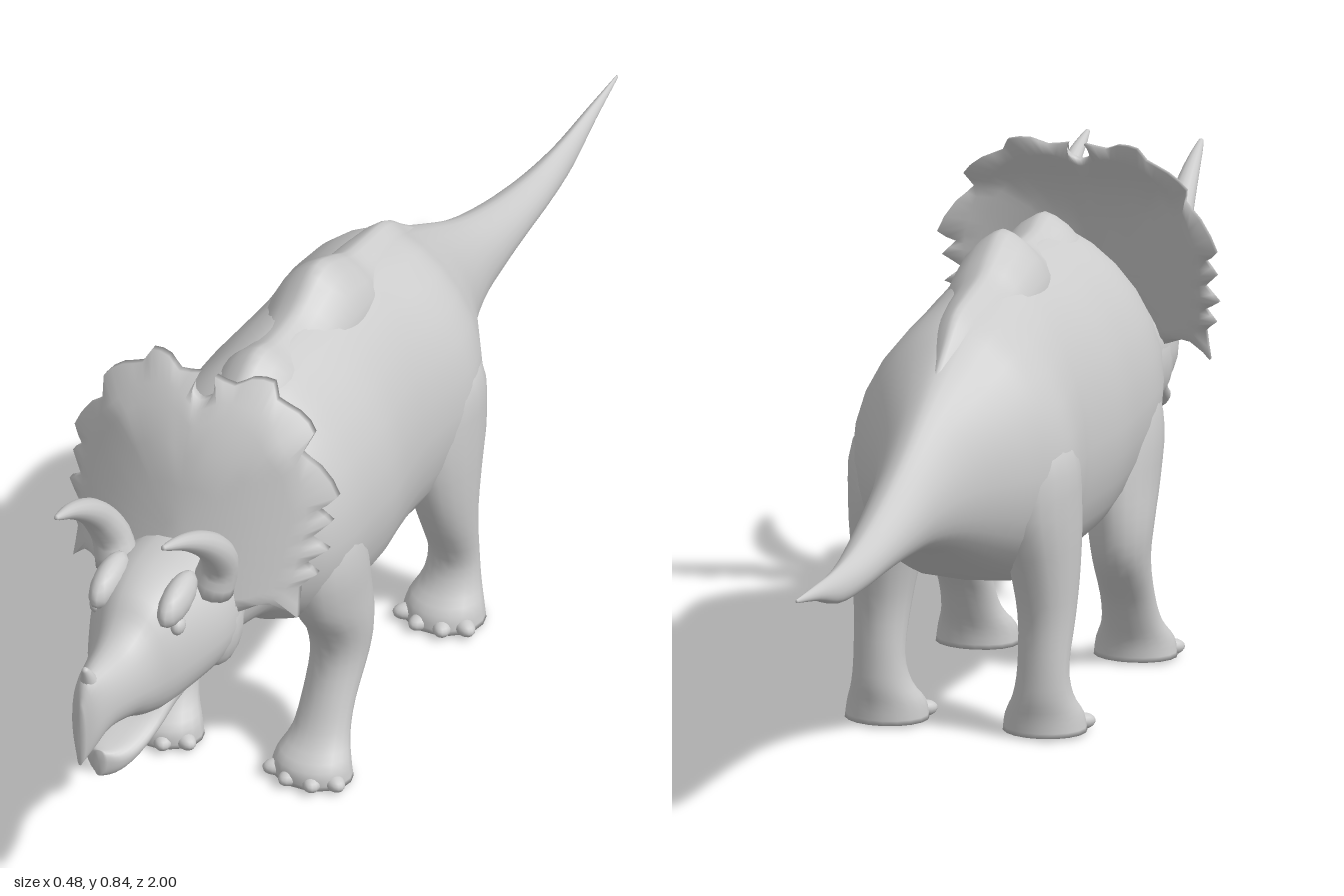
import * as THREE from 'three';

const material = new THREE.MeshStandardMaterial({ color: 0xcccccc });
const V = (x, y, z) => new THREE.Vector3(x, y, z);

// Smoothly subdivide rows of numbers (Catmull-Rom on every column)
function smoothRows(rows, steps) {
  const out = [];
  const at = (i) => rows[Math.min(Math.max(i, 0), rows.length - 1)];
  for (let i = 0; i < rows.length - 1; i++) {
    for (let s = 0; s < steps; s++) {
      const t = s / steps;
      out.push(rows[0].map((_, c) => {
        const [a, b, d, e] = [at(i - 1)[c], at(i)[c], at(i + 1)[c], at(i + 2)[c]];
        return b + 0.5 * t * (d - a + t * (2 * a - 5 * b + 4 * d - e + t * (3 * (b - d) + e - a)));
      }));
    }
  }
  out.push(at(rows.length - 1));
  return out;
}

// Skin a list of closed rings, cap both ends and face the surface outward
function loft(rings) {
  const n = rings[0].length, pts = rings.flat(), index = [];
  for (let r = 0; r < rings.length - 1; r++) {
    for (let i = 0; i < n; i++) {
      const a = r * n + i, b = r * n + (i + 1) % n;
      index.push(a, b, a + n, b, b + n, a + n);
    }
  }
  for (const [r, flip] of [[0, true], [rings.length - 1, false]]) {
    const c = rings[r].reduce((s, p) => s.add(p), V(0, 0, 0)).divideScalar(n);
    const k = pts.push(c) - 1;
    for (let i = 0; i < n; i++) {
      const a = r * n + i, b = r * n + (i + 1) % n;
      index.push(...(flip ? [b, a, k] : [a, b, k]));
    }
  }
  let volume = 0;
  for (let i = 0; i < index.length; i += 3) {
    const [a, b, c] = [pts[index[i]], pts[index[i + 1]], pts[index[i + 2]]];
    volume += a.dot(b.clone().cross(c));
  }
  if (volume < 0) index.reverse();
  const g = new THREE.BufferGeometry().setFromPoints(pts);
  g.setIndex(index);
  g.computeVertexNormals();
  return g;
}

// Sections along z: [z, top, bottom, half width]; exponents shape the upper and lower halves
function bodyLoft(rows, mid, up, low, sides = 28) {
  return loft(smoothRows(rows, 4).map(([z, top, bot, w]) => {
    const m = bot + (top - bot) * mid;
    return Array.from({ length: sides }, (_, i) => {
      const a = i / sides * Math.PI * 2, c = Math.cos(a), s = Math.sin(a);
      const x = Math.sign(c) * Math.abs(c) ** (s > 0 ? up : low) * w;
      return V(x, m + s * (s > 0 ? top - m : m - bot), z);
    });
  }));
}

// Sections up a leg: [y, x, z, x radius, z radius]
function legLoft(rows, side) {
  return loft(smoothRows(rows, 3).map(([y, x, z, rx, rz]) =>
    Array.from({ length: 18 }, (_, i) => {
      const a = i / 18 * Math.PI * 2;
      return V(side * (x + rx * Math.cos(a)), y, z + rz * Math.sin(a));
    })));
}

// Round horn tapering along a curve
function hornLoft(points, radius) {
  const curve = new THREE.CatmullRomCurve3(points), N = 18;
  const frames = curve.computeFrenetFrames(N);
  return loft(Array.from({ length: N + 1 }, (_, k) => {
    const p = curve.getPointAt(k / N), r = radius * (1 - k / N) ** 0.8 + 0.004;
    return Array.from({ length: 14 }, (_, i) => {
      const a = i / 14 * Math.PI * 2;
      return p.clone().addScaledVector(frames.normals[k], r * Math.cos(a))
        .addScaledVector(frames.binormals[k], r * Math.sin(a));
    });
  }));
}

// Curved neck shield with a scalloped rim
function frillGeometry() {
  const half = smoothRows([[0, .795], [.016, .802], [.022, .82], [.014, .828], [.05, .822], [.075, .834],
    [.11, .832], [.122, .81], [.16, .793], [.19, .765], [.18, .738], [.208, .712], [.238, .66], [.213, .64],
    [.234, .618], [.207, .592], [.234, .57], [.203, .55], [.223, .53], [.2, .51], [.203, .458], [.184, .482],
    [.16, .487], [.12, .47], [.06, .45], [0, .44]], 2);
  const rim = [...half, ...half.slice(1, -1).reverse().map(([x, y]) => [-x, y])];
  const n = rim.length;
  const soft = rim.map((_, i) => [0, 1].map((c) => {
    let sum = 0;
    for (let k = -4; k <= 4; k++) sum += rim[(i + k + n) % n][c];
    return sum / 9;
  }));
  const ring = (t, offset) => rim.map((p, i) => {
    const q = t > 0.95 ? p : soft[i];
    const x = q[0] * t, y = 0.58 + (q[1] - 0.58) * t;
    const lean = 0.64 - 0.27 * (y - 0.55) - 0.5 * Math.max(0, y - 0.74);
    return V(x, y, lean - 1.5 * x * x + offset);
  });
  const ts = [0.1, 0.35, 0.6, 0.8, 0.9];
  return loft([...ts.map((t) => ring(t, 0.013)), ring(1, 0.006), ring(1, -0.006),
    ...ts.reverse().map((t) => ring(t, -0.013))]);
}

export function createModel() {
  const model = new THREE.Group();
  const add = (name, geometry, parent = model) => {
    const mesh = new THREE.Mesh(geometry, material);
    mesh.name = name;
    parent.add(mesh);
    return mesh;
  };
  const ball = (name, pos, scale, parent) => {
    const mesh = add(name, new THREE.SphereGeometry(1, 14, 10), parent);
    mesh.position.set(...pos);
    mesh.scale.set(...scale);
    return mesh;
  };

  // Neck, trunk and tail in one skin
  add('bodyAndTail', bodyLoft([
    [.66, .55, .37, .09], [.58, .59, .355, .105], [.5, .645, .34, .135], [.44, .695, .3, .174],
    [.37, .732, .265, .19], [.28, .738, .243, .188], [.2, .738, .231, .187], [.12, .738, .226, .176],
    [.05, .735, .227, .172], [0, .725, .23, .178], [-.08, .71, .245, .188], [-.14, .695, .27, .175],
    [-.2, .658, .3, .143], [-.3, .6, .35, .088], [-.4, .545, .378, .062], [-.5, .503, .388, .05],
    [-.6, .472, .39, .04], [-.7, .452, .387, .03], [-.8, .445, .392, .02], [-.9, .447, .422, .011],
    [-1, .45, .444, .002],
  ], 0.43, 1.25, 0.65));

  // Humped ridge along the spine
  add('spineRidge', bodyLoft([
    [.52, .625, .55, .03], [.44, .703, .6, .06], [.35, .757, .64, .075], [.28, .743, .65, .07],
    [.2, .747, .65, .07], [.12, .787, .65, .08], [.05, .763, .65, .075], [0, .738, .64, .065],
    [-.07, .725, .63, .06], [-.14, .71, .61, .05], [-.2, .665, .58, .035], [-.28, .605, .54, .02],
  ], 0.2, 1.5, 1, 20));

  // Skull with beak, and the open lower jaw
  const head = new THREE.Group();
  head.name = 'head';
  model.add(head);
  add('skull', bodyLoft([
    [.56, .56, .37, .09], [.62, .575, .355, .112], [.68, .578, .35, .118], [.74, .578, .345, .106],
    [.8, .562, .34, .083], [.84, .53, .352, .064], [.88, .512, .372, .052], [.94, .51, .385, .038],
    [.98, .506, .365, .024], [1, .46, .35, .007],
  ], 0.42, 0.9, 0.8), head);
  add('lowerJaw', bodyLoft([
    [.6, .42, .36, .065], [.68, .42, .352, .082], [.77, .405, .33, .072], [.83, .355, .308, .06],
    [.88, .335, .287, .048], [.91, .33, .278, .032], [.93, .335, .285, .01],
  ], 0.6, 0.7, 0.9), head);
  add('noseHorn', hornLoft([V(0, .47, .955), V(0, .505, .97), V(0, .532, .983)], 0.018), head);
  add('frill', frillGeometry(), head);

  for (const side of [1, -1]) {
    const label = side > 0 ? 'left' : 'right';
    // Brow horn, brow ridge, eye and cheek
    add(label + 'BrowHorn', hornLoft([
      V(side * .085, .53, .685), V(side * .098, .58, .683), V(side * .105, .625, .71),
      V(side * .104, .672, .758), V(side * .101, .716, .825), V(side * .097, .745, .89)], 0.033), head);
    ball(label + 'BrowRidge', [side * .062, .552, .765], [.024, .032, .06], head).rotation.x = 0.25;
    ball(label + 'Eye', [side * .073, .515, .785], [.012, .016, .017], head);
    ball(label + 'Cheek', [side * .085, .435, .655], [.034, .07, .06], head);
    ball(label + 'Nostril', [side * .022, .46, .92], [.014, .03, .045], head);

    // Legs
    add(label + 'FrontLeg', legLoft([
      [.54, .1, .36, .03, .035], [.47, .122, .365, .058, .068], [.4, .133, .36, .062, .09],
      [.32, .137, .342, .057, .09], [.25, .14, .318, .053, .068], [.19, .14, .32, .047, .056],
      [.12, .138, .358, .045, .041], [.07, .137, .385, .05, .042], [.035, .135, .41, .065, .054],
      [.004, .135, .412, .07, .055],
    ], side));
    add(label + 'HindLeg', legLoft([
      [.58, .08, -.09, .04, .05], [.48, .115, -.09, .07, .09], [.38, .125, -.085, .068, .105],
      [.28, .135, -.08, .056, .08], [.2, .14, -.086, .047, .055], [.12, .14, -.105, .043, .037],
      [.07, .138, -.1, .05, .044], [.035, .135, -.083, .065, .058], [.004, .135, -.08, .07, .062],
    ], side));

    // Toes spread around the front of each foot
    for (const [name, z] of [['FrontToe', .41], ['HindToe', -.075]]) {
      for (let i = 0; i < 4; i++) {
        const a = (i - 1.5) * 0.62;
        ball(label + name, [side * .135 + Math.sin(a) * .065, .014, z + Math.cos(a) * .046],
          [.016, .014, .024]).rotation.y = a;
      }
    }
  }
  return model;
}
